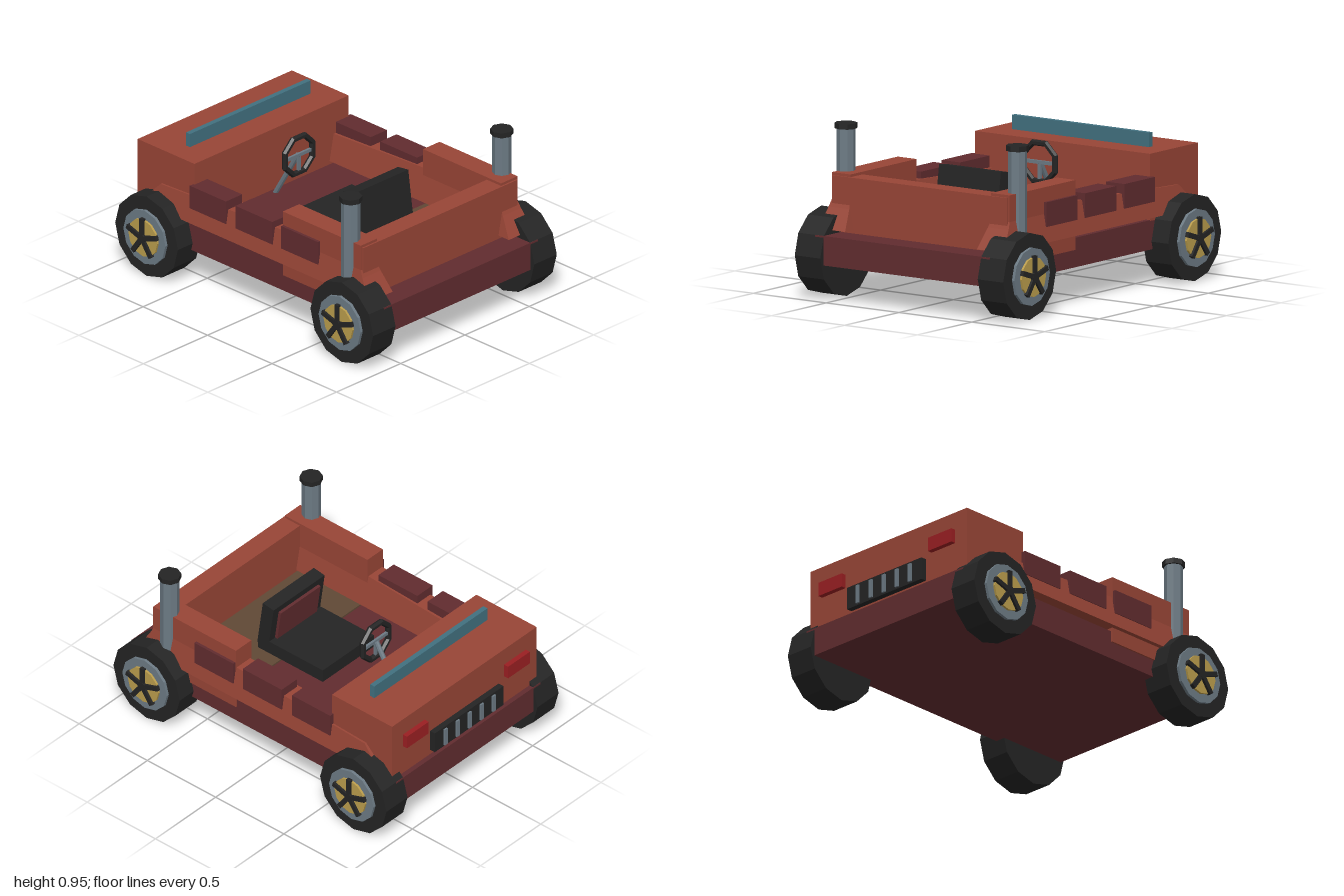
import * as THREE from 'three';

const mat = (name, color) => {
  const m = new THREE.MeshStandardMaterial({ color });
  m.name = name;
  return m;
};

export function createModel() {
  const root = new THREE.Group();
  root.name = 'openBuggy';
  const body = mat('body red', 0x984536), dark = mat('dark red', 0x612c2f);
  const black = mat('black', 0x242424), steel = mat('steel', 0x6c7a84);
  const gold = mat('gold', 0xbb9d4c), teal = mat('teal glass', 0x41707f);
  const brown = mat('brown floor', 0x604835), lamp = mat('lamp red', 0x9a1f22);

  // Helpers: faceted normals, boxes by limits, cylinders
  const flat = (g) => {
    const f = g.index ? g.toNonIndexed() : g;
    f.computeVertexNormals();
    return f;
  };
  const add = (name, geo, m, parent = root) => {
    const mesh = new THREE.Mesh(flat(geo), m);
    mesh.name = name;
    parent.add(mesh);
    return mesh;
  };
  const box = (name, m, [x0, x1], [y0, y1], [z0, z1], parent = root) => {
    const mesh = add(name, new THREE.BoxGeometry(x1 - x0, y1 - y0, z1 - z0), m, parent);
    mesh.position.set((x0 + x1) / 2, (y0 + y1) / 2, (z0 + z1) / 2);
    return mesh;
  };
  const rod = (name, m, a, b, r, parent = root) => {
    const from = new THREE.Vector3(...a), dir = new THREE.Vector3(...b).sub(from);
    const mesh = add(name, new THREE.CylinderGeometry(r, r, dir.length(), 8), m, parent);
    mesh.position.copy(from).addScaledVector(dir, 0.5);
    mesh.quaternion.setFromUnitVectors(new THREE.Vector3(0, 1, 0), dir.normalize());
    return mesh;
  };

  // Chassis and main walls
  box('chassis', dark, [-0.6, 0.6], [0.2, 0.365], [-0.97, 0.97]);
  box('floorPanel', brown, [-0.47, 0.47], [0.36, 0.375], [0.23, 0.7]);
  box('endWall', body, [-0.6, 0.6], [0.36, 0.675], [0.69, 0.81]);
  box('engineCowl', body, [-0.6, 0.6], [0.36, 0.735], [-0.94, -0.5]);
  box('windscreen', teal, [-0.47, 0.47], [0.73, 0.815], [-0.695, -0.665]);

  // Side panel: profile along z, narrowing towards the top edge
  const profile = [[0.89, 0.385], [0.82, 0.5], [0.78, 0.58], [0.2, 0.572],
    [-0.75, 0.53], [-0.82, 0.46], [-0.88, 0.385]];
  const sidePanel = () => {
    const shape = new THREE.Shape(profile.map(([z, y]) => new THREE.Vector2(-z, y)));
    const g = new THREE.ExtrudeGeometry(shape, { depth: 1, bevelEnabled: false });
    g.rotateY(Math.PI / 2);
    const p = g.attributes.position;
    for (let i = 0; i < p.count; i++) {
      const t = (p.getY(i) - 0.385) / 0.195;
      const inner = 0.452 + 0.04 * t, outer = 0.638 - 0.035 * t;
      p.setX(i, inner + (outer - inner) * p.getX(i));
    }
    return g;
  };

  for (const s of [1, -1]) {
    const side = new THREE.Group();
    side.name = s > 0 ? 'leftSide' : 'rightSide';
    root.add(side);
    const span = (a, b) => (s > 0 ? [a, b] : [-b, -a]);

    // The panel is symmetric in form, so flip x and the winding for the right side
    const g = flat(sidePanel());
    if (s < 0) {
      const p = g.attributes.position;
      for (let i = 0; i < p.count; i += 3) {
        const a = [0, 2, 1].map((k) => [p.getX(i + k), p.getY(i + k), p.getZ(i + k)]);
        a.forEach((v, k) => p.setXYZ(i + k, -v[0], v[1], v[2]));
      }
    }
    add('sidePanel', g, body, side);
    box('raisedSide', body, span(0.482, 0.61), [0.3, 0.69], [0.195, 0.8], side);

    // Armour pads resting on the side panel
    for (const [z0, z1] of [[0.2, 0.485], [-0.155, 0.13], [-0.51, -0.23]])
      box('armourPad', dark, span(0.5, 0.627), [0.47, 0.608], [z0, z1], side);

    // Upright exhaust with cap
    rod('exhaustPipe', steel, [s * 0.588, 0.46, 0.7], [s * 0.588, 0.94, 0.7], 0.053, side);
    rod('exhaustCap', black, [s * 0.588, 0.925, 0.7], [s * 0.588, 0.955, 0.7], 0.064, side);

    box('lamp', lamp, span(0.33, 0.51), [0.55, 0.63], [-0.97, -0.935], side);

    // Wheels with rim, gold disc and five spokes
    for (const z of [0.757, -0.757]) {
      const wheel = new THREE.Group();
      wheel.name = z > 0 ? 'frontWheel' : 'rearWheel';
      wheel.position.set(0, 0.243, z);
      side.add(wheel);
      const disc = (name, m, r, x0, x1) => {
        const d = new THREE.CylinderGeometry(r, r, x1 - x0, 12).rotateZ(Math.PI / 2);
        add(name, d, m, wheel).position.x = (s * (x0 + x1)) / 2;
      };
      disc('tyre', black, 0.243, 0.54, 0.715);
      disc('rim', steel, 0.163, 0.7, 0.732);
      disc('hubDisc', gold, 0.112, 0.72, 0.745);
      disc('hubCap', black, 0.028, 0.74, 0.76);
      for (let i = 0; i < 5; i++) {
        const spoke = new THREE.BoxGeometry(0.022, 0.12, 0.028);
        spoke.translate(s * 0.748, 0.06, 0).rotateX((i * Math.PI * 2) / 5);
        add('spoke', spoke, black, wheel);
      }
    }
  }

  // Grille with upright bars
  box('grille', black, [-0.285, 0.285], [0.395, 0.525], [-0.975, -0.935]);
  for (let i = -2; i <= 2; i++)
    box('grilleBar', steel, [i * 0.1 - 0.012, i * 0.1 + 0.012], [0.405, 0.512], [-0.985, -0.97]);

  // Seat with forward-leaning backrest
  const seat = new THREE.Group();
  seat.name = 'seat';
  root.add(seat);
  box('seatCushion', black, [-0.212, 0.212], [0.39, 0.47], [-0.09, 0.385], seat);
  const back = new THREE.Group();
  back.name = 'backrest';
  back.position.set(0, 0.42, 0.35);
  back.rotation.x = -0.14;
  seat.add(back);
  box('backrestFrame', black, [-0.212, 0.212], [0, 0.29], [-0.04, 0.04], back);
  box('backrestPad', dark, [-0.165, 0.165], [0.06, 0.25], [-0.058, -0.035], back);

  // Steering wheel and column
  const steering = new THREE.Group();
  steering.name = 'steering';
  root.add(steering);
  const ring = new THREE.TorusGeometry(0.115, 0.018, 6, 8).rotateZ(Math.PI / 8);
  add('steeringWheel', ring, black, steering).position.set(0, 0.655, -0.29);
  box('steeringSpoke', steel, [-0.105, 0.105], [0.645, 0.665], [-0.297, -0.283], steering);
  box('steeringSpokeLower', steel, [-0.01, 0.01], [0.55, 0.655], [-0.297, -0.283], steering);
  rod('steeringColumn', steel, [0, 0.655, -0.295], [0, 0.36, -0.47], 0.015, steering);

  return root;
}
